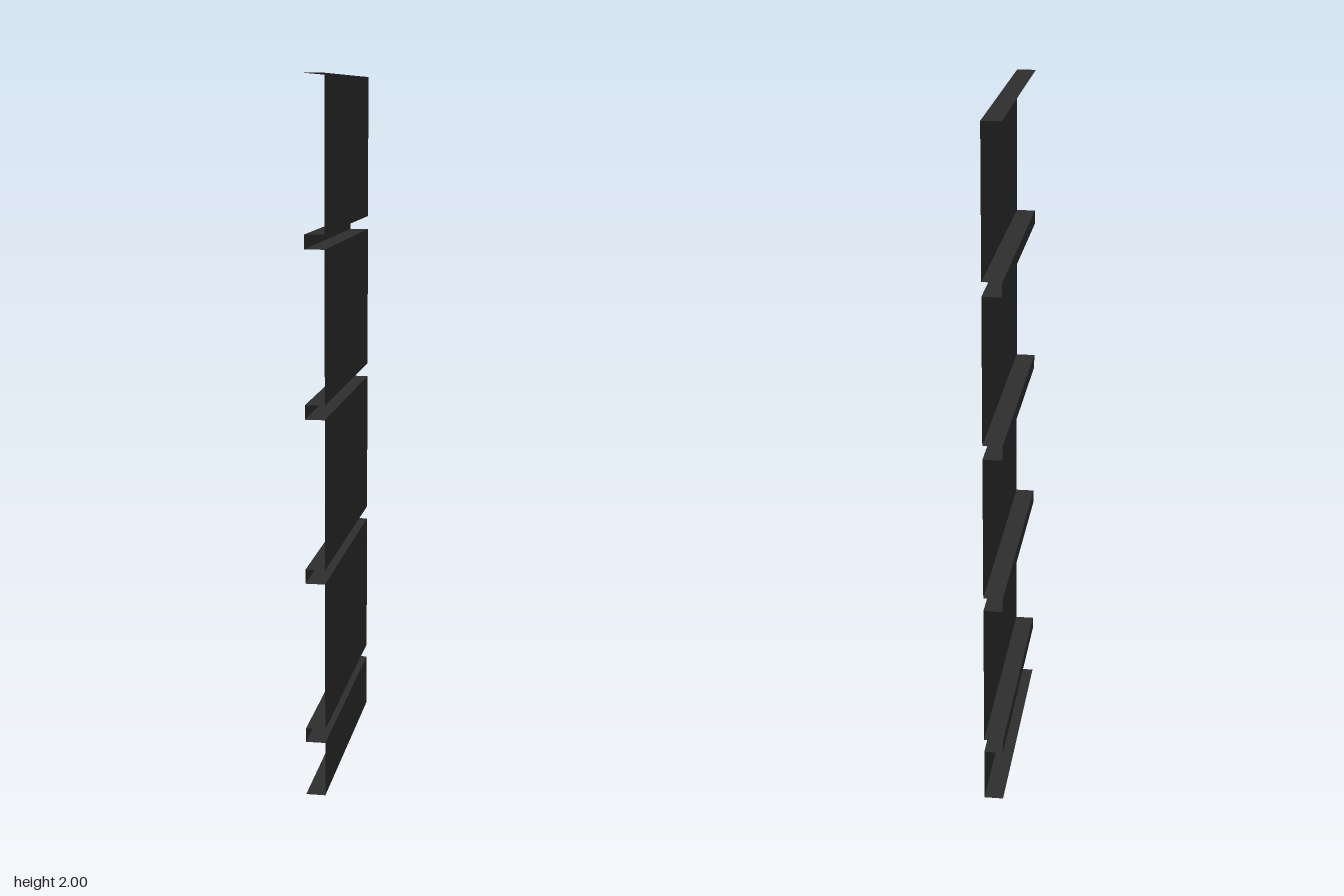
import * as THREE from 'three';

const OUT = 0.0275;      // x of the panel faces
const IN = -0.0275;      // x of the groove floors and end flanges
const HALF = 0.384;      // half length along z
const GROOVE = 0.04;     // groove height
const FIRST = 0.156;     // bottom of the lowest groove
const PITCH = 0.461;     // distance between grooves
const COUNT = 4;

// Folded sheet swept along z; each fold stays sharp. Points run from top to bottom.
function foldedSheet(points) {
  const pos = [];
  for (let i = 0; i < points.length - 1; i++) {
    const [ax, ay] = points[i];
    const [bx, by] = points[i + 1];
    pos.push(ax, ay, HALF, bx, by, HALF, bx, by, -HALF);
    pos.push(ax, ay, HALF, bx, by, -HALF, ax, ay, -HALF);
  }
  const geo = new THREE.BufferGeometry();
  geo.setAttribute('position', new THREE.Float32BufferAttribute(pos, 3));
  geo.computeVertexNormals();
  return geo;
}

export function createModel() {
  const group = new THREE.Group();
  group.name = 'groovedPanel';
  const charcoal = new THREE.MeshStandardMaterial({ color: 0x2e2e2e, side: THREE.DoubleSide });
  charcoal.name = 'charcoal';

  const add = (name, points) => {
    const mesh = new THREE.Mesh(foldedSheet(points), charcoal);
    mesh.name = name;
    group.add(mesh);
  };

  // Flanges folded back at both ends
  add('topFlange', [[IN, 2], [OUT, 2]]);
  add('bottomFlange', [[OUT, 0], [IN, 0]]);

  // Flat panels with square grooves between them
  let top = 2;
  for (let i = COUNT - 1; i >= 0; i--) {
    const low = FIRST + i * PITCH;
    const high = low + GROOVE;
    add('panel', [[OUT, top], [OUT, high]]);
    add('groove', [[OUT, high], [IN, high], [IN, low], [OUT, low]]);
    top = low;
  }
  add('bottomPanel', [[OUT, top], [OUT, 0]]);

  return group;
}
